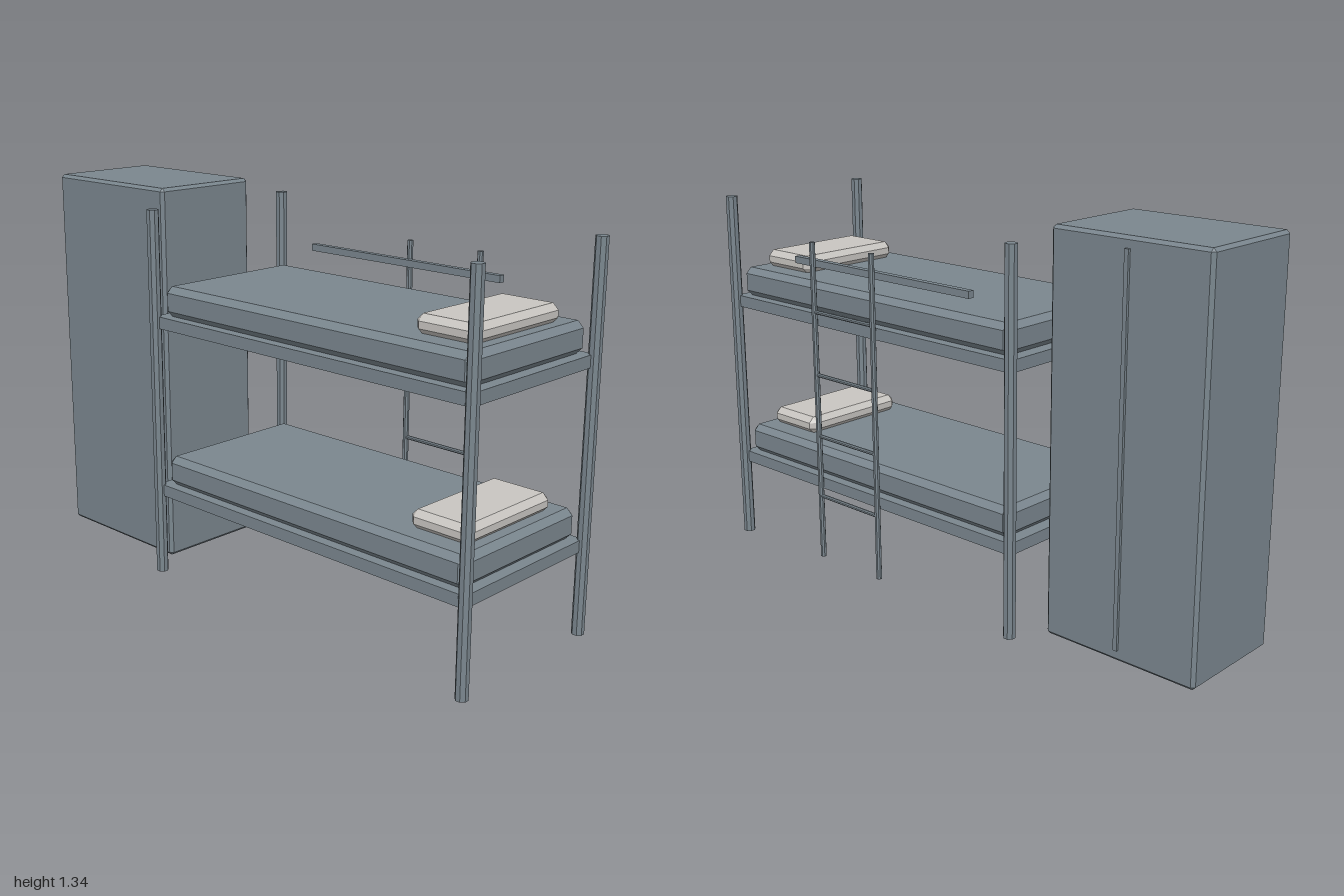
import * as THREE from 'three';
import { ConvexGeometry } from 'three/addons/geometries/ConvexGeometry.js';

const slate = new THREE.MeshStandardMaterial({ name: 'slate blue', color: 0x7a868e, flatShading: true });
const linen = new THREE.MeshStandardMaterial({ name: 'linen', color: 0xc8c5c1, flatShading: true });

const CX = -0.005; // centre line of beds and wardrobe

// Box with chamfered edges, given by its min and max corners
function chamferBox(name, min, max, bevel, material) {
  const size = max.map((v, i) => v - min[i]);
  const points = [];
  for (const sx of [-1, 1]) for (const sy of [-1, 1]) for (const sz of [-1, 1]) {
    for (let axis = 0; axis < 3; axis++) {
      const c = [sx, sy, sz].map((s, i) => s * (size[i] / 2 - (i === axis ? 0 : bevel)));
      points.push(new THREE.Vector3(...c));
    }
  }
  const mesh = new THREE.Mesh(new ConvexGeometry(points), material);
  mesh.position.set(...min.map((v, i) => (v + max[i]) / 2));
  mesh.name = name;
  return mesh;
}

// Eight-sided bar between two points
function bar(name, from, to, radius) {
  const a = new THREE.Vector3(...from), b = new THREE.Vector3(...to);
  const geometry = new THREE.CylinderGeometry(radius, radius, a.distanceTo(b), 8);
  geometry.rotateY(Math.PI / 8);
  const mesh = new THREE.Mesh(geometry, slate);
  mesh.position.copy(a).add(b).multiplyScalar(0.5);
  mesh.quaternion.setFromUnitVectors(new THREE.Vector3(0, 1, 0), b.sub(a).normalize());
  mesh.name = name;
  return mesh;
}

// Plain box, given by its min and max corners
function box(name, min, max) {
  const mesh = new THREE.Mesh(new THREE.BoxGeometry(...max.map((v, i) => v - min[i])), slate);
  mesh.position.set(...min.map((v, i) => (v + max[i]) / 2));
  mesh.name = name;
  return mesh;
}

// One bunk: base, mattress and pillow, starting at height y
function createBunk(name, y) {
  const bunk = new THREE.Group();
  bunk.name = name;
  bunk.add(
    box('bedBase', [CX - 0.301, y, -0.36], [CX + 0.301, y + 0.041, 0.977]),
    chamferBox('mattress', [CX - 0.285, y + 0.041, -0.333], [CX + 0.285, y + 0.145, 0.957], 0.021, slate),
    chamferBox('pillow', [CX - 0.21, y + 0.141, 0.688], [CX + 0.21, y + 0.204, 0.914], 0.02, linen)
  );
  return bunk;
}

export function createModel() {
  const model = new THREE.Group();
  model.name = 'bunkBedAndWardrobe';

  // Corner posts
  for (const side of [-1, 1]) for (const z of [-0.358, 0.979]) {
    const x = CX + side * 0.301;
    model.add(bar('post', [x, 0, z], [x, 1.285, z], 0.021));
  }

  // Two bunks
  model.add(createBunk('lowerBunk', 0.283), createBunk('upperBunk', 0.883));

  // Guard rail
  model.add(box('guardRail', [0.285, 1.092, -0.195], [0.307, 1.116, 0.625]));

  // Ladder
  const ladder = new THREE.Group();
  ladder.name = 'ladder';
  const lx = 0.314;
  for (const z of [0.233, 0.525]) ladder.add(bar('ladderRail', [lx, 0.03, z], [lx, 1.178, z], 0.0105));
  for (let i = 0; i < 4; i++) {
    const y = 0.263 + i * 0.2245;
    ladder.add(bar('rung', [lx, y, 0.233], [lx, y, 0.525], 0.007));
  }
  model.add(ladder);

  // Wardrobe with the strip between its doors
  const wardrobe = new THREE.Group();
  wardrobe.name = 'wardrobe';
  wardrobe.add(
    chamferBox('cabinet', [CX - 0.201, 0, -1], [CX + 0.201, 1.336, -0.426], 0.011, slate),
    box('doorStrip', [0.19, 0.04, -0.719], [0.205, 1.3, -0.704])
  );
  model.add(wardrobe);

  return model;
}
